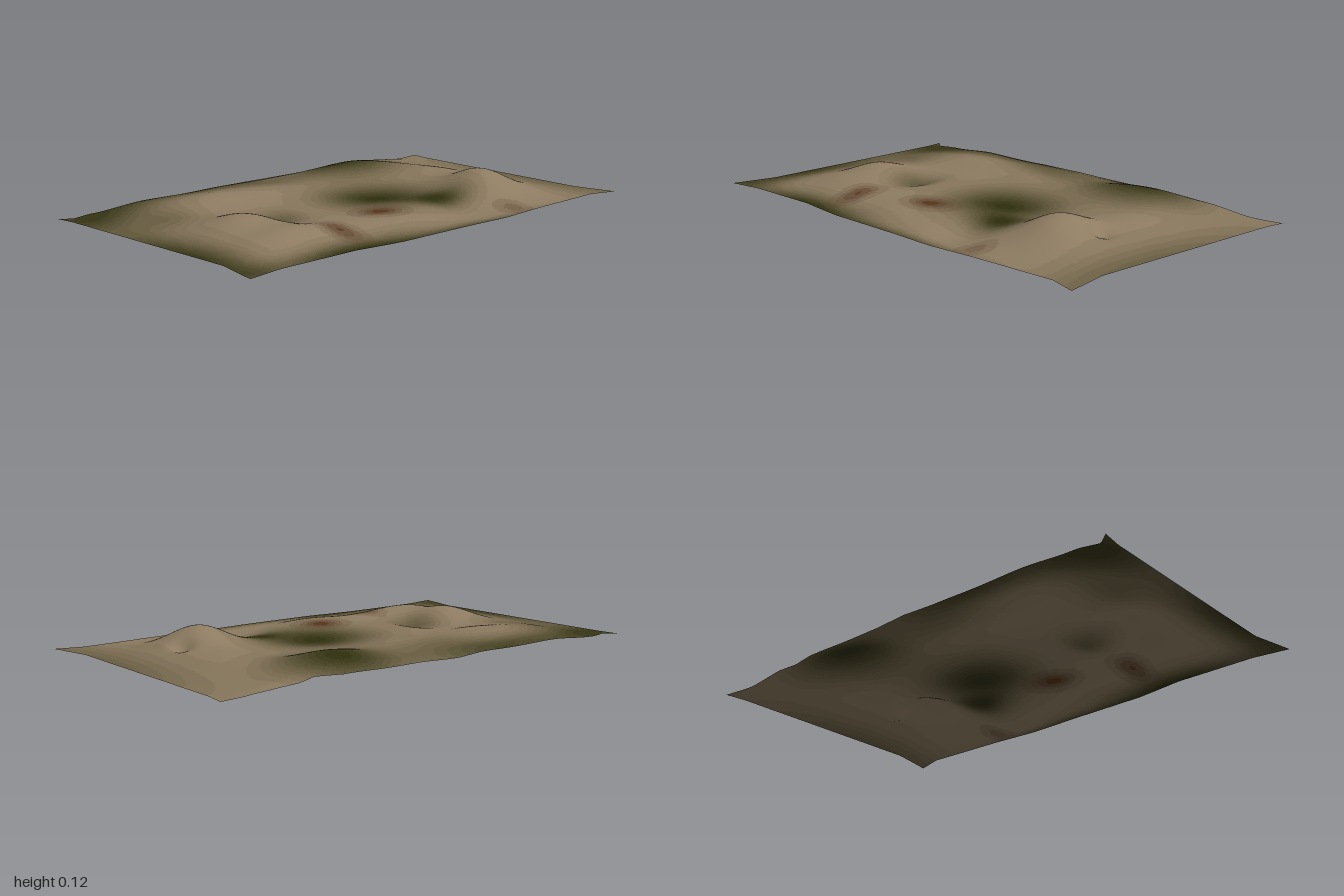
import * as THREE from 'three';

const NX = 150, NZ = 96, SHADES = 12;
const { smoothstep, lerp } = THREE.MathUtils;

// Soft bumps: [x, z, radius x, radius z, amount]
const hills = [
  [0.57, 0.2, 0.14, 0.15, 0.074],    // main hill
  [0.66, -0.12, 0.17, 0.25, 0.018],  // its rear shoulder
  [-0.63, 0.08, 0.15, 0.14, 0.044],  // left hill
  [-0.56, 0.31, 0.2, 0.1, 0.025],    // left front spur
  [-0.35, -0.33, 0.38, 0.13, 0.028], // back ridge
  [0.4, -0.4, 0.2, 0.13, 0.042],     // back right rise
  [-0.1, 0.4, 0.16, 0.1, 0.012],     // front mesa
  [0.15, 0.02, 0.2, 0.15, -0.014],   // central basin
  [0.27, 0.4, 0.13, 0.14, -0.03],    // front hollow
  [-0.42, 0.04, 0.07, 0.12, -0.025], // left valley
  [0.7, 0.12, 0.04, 0.05, -0.028]    // notch in the cliff
];
const grass = [
  [0.12, 0.04, 0.23, 0.2, 1], [0.4, -0.45, 0.24, 0.18, 1],
  [-0.98, 0.25, 0.13, 0.5, 0.95], [-0.5, 0.57, 0.34, 0.09, 1],
  [-0.9, -0.5, 0.25, 0.2, 0.8], [-0.35, -0.57, 0.4, 0.11, 0.8],
  [-0.42, 0.05, 0.09, 0.11, 0.5], [0.3, 0.23, 0.12, 0.09, 0.8],
  [0.1, 0.6, 0.4, 0.05, 0.7], [1, 0.2, 0.17, 0.6, 0.45],
  [-0.75, -0.2, 0.12, 0.12, 0.3], [-0.1, -0.42, 0.2, 0.1, 0.3]
];
const clay = [
  [-0.08, 0.26, 0.1, 0.08, 1], [-0.4, 0.38, 0.06, 0.11, 0.9], [0.44, 0.5, 0.06, 0.08, 0.5]
];

// Outline of the front and back edges: x to z
const frontEdge = [[-1, 0.59], [-0.85, 0.565], [-0.5, 0.56], [-0.28, 0.585], [0.3, 0.585], [0.5, 0.572], [0.88, 0.555], [1, 0.59]];
const backEdge = [[-1, -0.59], [-0.95, -0.55], [-0.87, -0.572], [-0.5, -0.575], [-0.2, -0.58], [-0.06, -0.597],
  [0.1, -0.583], [0.48, -0.583], [0.59, -0.562], [0.67, -0.58], [0.85, -0.57], [1, -0.59]];
// Outline of the sides: z to half width
const sideEdge = [[-0.59, 1], [-0.5, 0.987], [0.4, 0.962], [0.59, 1]];

function along(points, t) {
  for (let i = 1; i < points.length; i++) {
    const [a, b] = [points[i - 1], points[i]];
    if (t <= b[0]) return lerp(a[1], b[1], (t - a[0]) / (b[0] - a[0]));
  }
  return points[points.length - 1][1];
}

function field(bumps, x, z) {
  return bumps.reduce((sum, [cx, cz, rx, rz, h]) =>
    sum + h * Math.exp(-(((x - cx) / rx) ** 2) - ((z - cz) / rz) ** 2), 0);
}

function height(x, z) {
  const side = smoothstep(0.98 - Math.abs(x), 0, 0.38);
  const front = smoothstep(0.58 - z, 0, 0.3);
  const rim = smoothstep(0.98 - Math.abs(x), 0, 0.2) * smoothstep(0.6 - z, 0, 0.12);
  const ripple = 0.002 * Math.sin(13 * x + 4 * z) * Math.sin(11 * z - 5 * x);
  const backDrop = 0.012 * smoothstep(-z, 0.52, 0.6);
  return 0.02 + 0.026 * side * front
    + rim * (field(hills, x, z) + ripple - backDrop)
    + (1 - rim) * Math.min(0, field(hills, x, z)) * 0.4;
}

export function createModel() {
  const group = new THREE.Group();
  group.name = 'terrain';

  // Grid bent to the ragged outline and raised into hills
  const sheet = new THREE.PlaneGeometry(2, 1.18, NX, NZ).rotateX(-Math.PI / 2);
  const pos = sheet.attributes.position;
  for (let i = 0; i < pos.count; i++) {
    const u = pos.getX(i), v = pos.getZ(i);
    const z = lerp(along(backEdge, u), along(frontEdge, u), v / 1.18 + 0.5);
    const x = u * along(sideEdge, v);
    pos.setXYZ(i, x, height(x, z), z);
  }
  sheet.computeBoundingBox();
  sheet.translate(0, -sheet.boundingBox.min.y, 0);
  sheet.computeVertexNormals();

  // Sort the triangles into shades from sand to grass, with clay patches
  const sand = new THREE.Color(0x8e7c62), green = new THREE.Color(0x2d2d0d), rust = new THREE.Color(0x55341a);
  const buckets = new Map();
  const index = sheet.index.array;
  for (let i = 0; i < index.length; i += 3) {
    const tri = [index[i], index[i + 1], index[i + 2]];
    const x = tri.reduce((s, k) => s + pos.getX(k), 0) / 3;
    const z = tri.reduce((s, k) => s + pos.getZ(k), 0) / 3;
    const g = Math.round(Math.min(1, field(grass, x, z)) * SHADES);
    const c = Math.round(Math.min(1, field(clay, x, z)) * 4);
    const key = g * 5 + c;
    if (!buckets.has(key)) buckets.set(key, []);
    buckets.get(key).push(...tri);
  }

  // One mesh per shade, all sharing the same smooth surface
  for (const [key, tris] of buckets) {
    const g = Math.floor(key / 5), c = key % 5;
    const geometry = new THREE.BufferGeometry();
    geometry.setAttribute('position', pos);
    geometry.setAttribute('normal', sheet.attributes.normal);
    geometry.setIndex(tris);
    const color = new THREE.Color(
      ...['r', 'g', 'b'].map(k => lerp(Math.sqrt(sand[k]), Math.sqrt(green[k]), g / SHADES) ** 2)
    ).lerp(rust, c / 4);
    const mesh = new THREE.Mesh(geometry, new THREE.MeshStandardMaterial({ color, side: THREE.DoubleSide }));
    mesh.name = c > 1 ? `clayGround${key}` : g > SHADES / 2 ? `grassGround${key}` : `sandGround${key}`;
    group.add(mesh);
  }
  return group;
}
